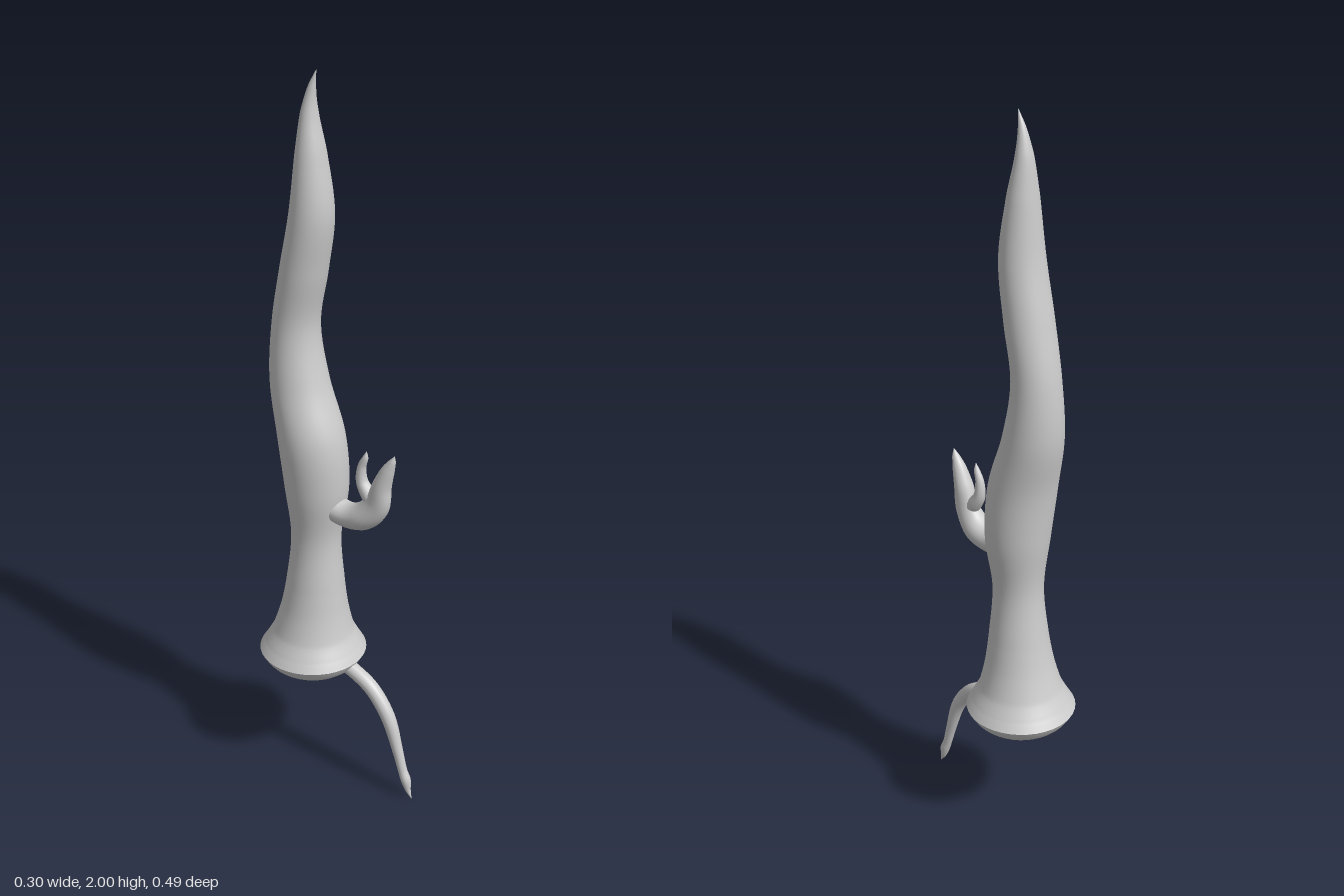
import * as THREE from 'three';

const material = new THREE.MeshStandardMaterial({ color: 0xcccccc, side: THREE.DoubleSide });

// Tapered tube through [y, z, radius, x = 0, width = 1] points lying near the x = 0 plane.
// With level = true every ring stays horizontal.
function limb(name, pts, steps, sides, level = false) {
  const path = new THREE.CatmullRomCurve3(pts.map(([y, z, , x = 0]) => new THREE.Vector3(x, y, z)));
  const sizes = new THREE.CatmullRomCurve3(
    pts.map(([, , r, , w = 1], i) => new THREE.Vector3(r, r * w, i * 0.1)));
  const X = new THREE.Vector3(1, 0, 0);
  const pos = [], index = [];
  for (let i = 0; i <= steps; i++) {
    const t = i / steps;
    const p = path.getPoint(t), s = sizes.getPoint(t);
    const T = level ? new THREE.Vector3(0, 1, 0) : path.getTangent(t);
    const B = T.clone().cross(X).normalize();
    const r = Math.max(s.x, 0.0005), w = Math.max(s.y, 0.0005);
    for (let j = 0; j < sides; j++) {
      const a = (j / sides) * Math.PI * 2;
      const v = p.clone().addScaledVector(X, w * Math.cos(a)).addScaledVector(B, r * Math.sin(a));
      pos.push(v.x, v.y, v.z);
      if (i < steps) {
        const k = (j + 1) % sides, o = i * sides, n = o + sides;
        index.push(o + j, o + k, n + j, o + k, n + k, n + j);
      }
    }
  }
  const geo = new THREE.BufferGeometry();
  geo.setAttribute('position', new THREE.Float32BufferAttribute(pos, 3));
  geo.setIndex(index);
  geo.computeVertexNormals();
  const mesh = new THREE.Mesh(geo, material);
  mesh.name = name;
  return mesh;
}

export function createModel() {
  const model = new THREE.Group();
  model.name = 'twistedStalk';

  // Wavy trunk: flared foot, bulging middle, pointed tip
  model.add(limb('trunk', [
    [0.385, -0.098, 0.149],
    [0.41, -0.097, 0.134],
    [0.45, -0.096, 0.113],
    [0.52, -0.092, 0.094],
    [0.6, -0.088, 0.081],
    [0.75, -0.084, 0.068],
    [0.9, -0.081, 0.086],
    [1.05, -0.093, 0.09, -0.006],
    [1.2, -0.132, 0.078, -0.003],
    [1.35, -0.143, 0.062, 0, 1.05],
    [1.5, -0.116, 0.061, 0, 1.06],
    [1.65, -0.09, 0.056, 0, 1.06],
    [1.8, -0.091, 0.038, 0, 1.1],
    [1.9, -0.094, 0.021, 0, 1.1],
    [1.96, -0.086, 0.01],
    [2.0, -0.073, 0.0005],
  ], 120, 40, true));

  // Shallow rounded underside below the rim
  const profile = new THREE.SplineCurve([
    [0.0005, 0.311], [0.05, 0.316], [0.1, 0.334], [0.13, 0.356], [0.149, 0.385],
  ].map(([r, y]) => new THREE.Vector2(r, y))).getPoints(16);
  const base = new THREE.Mesh(new THREE.LatheGeometry(profile, 40), material);
  base.name = 'underside';
  base.position.z = -0.098;
  model.add(base);

  // Thin tendril curling down and forward from the rim
  model.add(limb('tendril', [
    [0.37, 0.0, 0.022],
    [0.355, 0.045, 0.021],
    [0.322, 0.105, 0.021],
    [0.25, 0.161, 0.02],
    [0.15, 0.196, 0.015],
    [0.09, 0.214, 0.013],
    [0.06, 0.226, 0.014],
    [0.03, 0.234, 0.008],
    [0.005, 0.246, 0.0005],
  ], 48, 16));

  // Forward arm that bends upward into a long finger
  model.add(limb('arm', [
    [0.86, -0.05, 0.036, 0, 1.1],
    [0.845, 0.02, 0.034, 0, 1.1],
    [0.86, 0.075, 0.038],
    [0.905, 0.115, 0.036, 0, 0.8],
    [0.965, 0.13, 0.026],
    [1.015, 0.148, 0.018],
    [1.045, 0.162, 0.009],
    [1.062, 0.168, 0.0005],
  ], 48, 20));

  // Short crooked second finger
  model.add(limb('shortFinger', [
    [0.9, 0.11, 0.02],
    [0.93, 0.085, 0.02],
    [0.96, 0.067, 0.016],
    [1.0, 0.066, 0.012],
    [1.03, 0.077, 0.008],
    [1.05, 0.081, 0.0005],
  ], 32, 14));

  return model;
}
